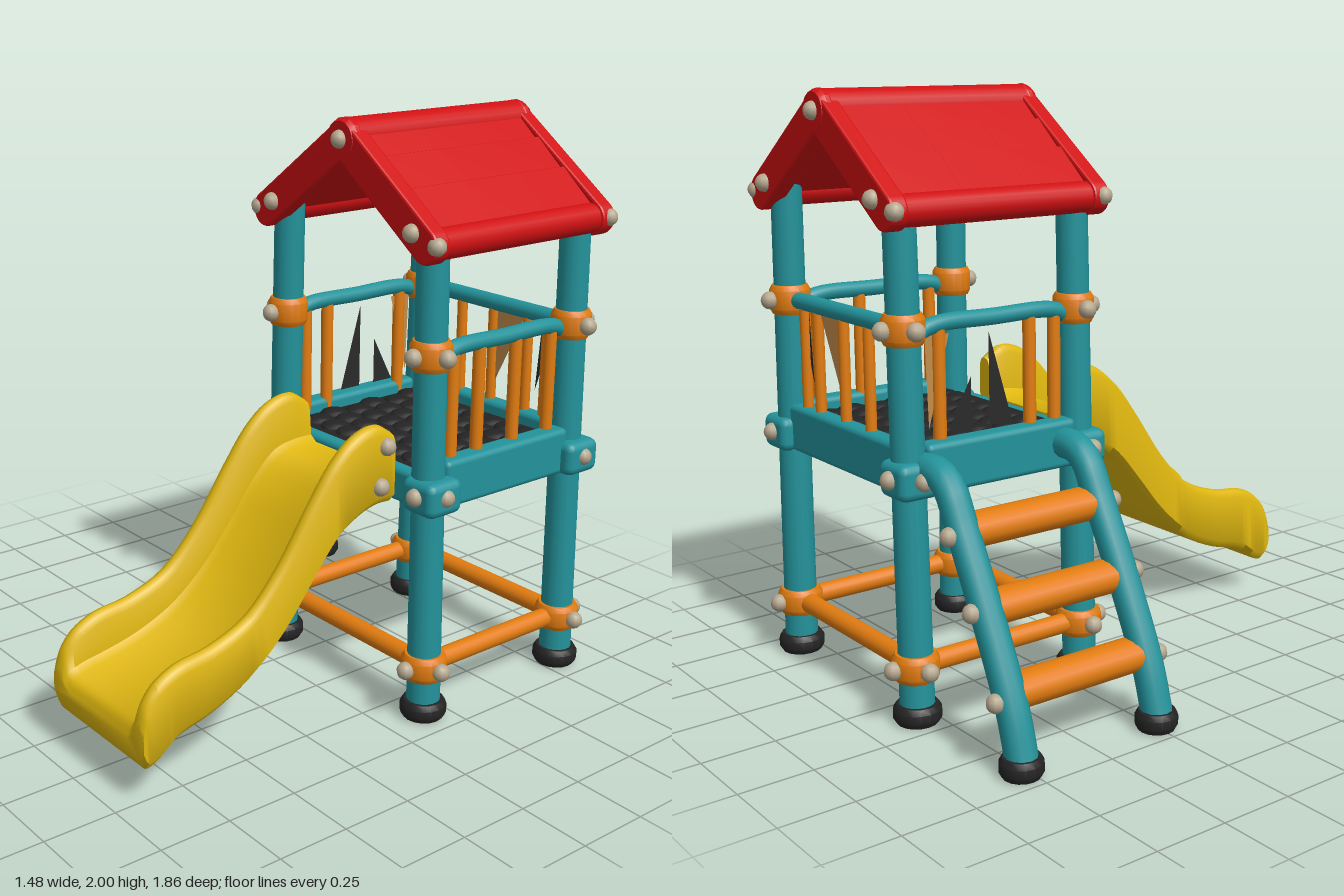
import * as THREE from 'three';
import { toCreasedNormals } from 'three/addons/utils/BufferGeometryUtils.js';
import { RoundedBoxGeometry } from 'three/addons/geometries/RoundedBoxGeometry.js';

const V = (x, y, z) => new THREE.Vector3(x, y, z);
const mat = (name, color, extra = {}) => {
  const m = new THREE.MeshStandardMaterial({ color, ...extra });
  m.name = name;
  return m;
};

export function createModel() {
  const model = new THREE.Group();
  model.name = 'playTower';
  const red = mat('roofRed', 0xd01012), teal = mat('frameTeal', 0x23939b);
  const orange = mat('railOrange', 0xe27c10), yellow = mat('slideYellow', 0xdfb70f);
  const black = mat('rubberBlack', 0x242424), beige = mat('boltBeige', 0xb5a78e);
  const tan = mat('panelTan', 0xc48d4c, { side: THREE.DoubleSide });
  const dark = mat('panelDark', 0x2a2a2a, { side: THREE.DoubleSide });

  const add = (name, geo, material, x = 0, y = 0, z = 0, parent = model) => {
    const m = new THREE.Mesh(geo, material);
    m.name = name;
    m.position.set(x, y, z);
    parent.add(m);
    return m;
  };
  // Round bar between two points
  const bar = (name, a, b, r, material, rTop = r, sides = 18) => {
    const m = add(name, new THREE.CylinderGeometry(rTop, r, a.distanceTo(b), sides), material);
    m.position.lerpVectors(a, b, 0.5);
    m.quaternion.setFromUnitVectors(V(0, 1, 0), b.clone().sub(a).normalize());
    return m;
  };
  const tube = (name, pts, r, material) =>
    add(name, new THREE.TubeGeometry(new THREE.CatmullRomCurve3(pts), 28, r, 12), material);
  const boltGeo = new THREE.SphereGeometry(0.031, 10, 8);
  const bolt = (x, y, z) => add('bolt', boltGeo, beige, x, y, z);
  // Ring with bevelled rims
  const ring = (r, h) => toCreasedNormals(new THREE.LatheGeometry([
    [0, -h / 2], [r * 0.86, -h / 2], [r, -h / 2 + 0.018], [r, h / 2 - 0.018], [r * 0.86, h / 2], [0, h / 2],
  ].map(p => new THREE.Vector2(...p)), 16), 0.6);

  // Four posts with feet, collars, corner blocks and bolts
  const xs = [-0.15, 0.63], zs = [-0.16, -0.82];
  const postX = (x, y) => x + (x < 0 ? 0.04 : -0.02) * y / 1.68;
  const foot = ring(0.08, 0.065);
  for (const x of xs) for (const z of zs) {
    const sx = x < 0 ? -1 : 1, sz = z > -0.5 ? 1 : -1;
    bar('post', V(x, 0.03, z), V(postX(x, 1.68), 1.68, z), 0.058, teal, 0.053);
    add('postFoot', foot, black, x, 0.0325, z);
    for (const [y, h, r] of [[0.19, 0.09, 0.078], [1.28, 0.1, 0.07]]) {
      const px = postX(x, y);
      add('collar', ring(r, h), orange, px, y, z);
      bolt(px + sx * (r + 0.006), y, z);
      bolt(px, y, z + sz * (r + 0.006));
    }
    add('cornerBlock', new RoundedBoxGeometry(0.15, 0.12, 0.15, 2, 0.03), teal, x + 0.01, 0.81, z);
    bolt(x + sx * 0.075, 0.815, z);
    bolt(x + 0.01, 0.815, z + sz * 0.075);
  }

  // Orange base rails and teal deck frame
  for (const z of zs) {
    bar('baseRail', V(xs[0], 0.19, z), V(xs[1], 0.19, z), 0.034, orange);
    const back = z < -0.5;
    add('deckBeam', new RoundedBoxGeometry(0.74, back ? 0.165 : 0.12, 0.07, 2, 0.02), teal, 0.24, back ? 0.835 : 0.81, z);
  }
  for (const x of xs) {
    bar('baseRail', V(x, 0.19, zs[0]), V(x, 0.19, zs[1]), 0.034, orange);
    add('deckBeam', new RoundedBoxGeometry(0.08, 0.165, 0.58, 2, 0.02), teal, x, 0.835, -0.49);
  }

  // Rubber deck with pebbled top
  add('deck', new THREE.BoxGeometry(0.76, 0.09, 0.64), black, 0.24, 0.825, -0.49);
  const pebble = new THREE.IcosahedronGeometry(0.055, 1);
  pebble.scale(1, 0.4, 1);
  for (let i = 0; i < 8; i++) for (let j = 0; j < 6; j++)
    add('deckPebble', pebble, black, -0.07 + i * 0.085 + (j % 2) * 0.03, 0.868, -0.72 + j * 0.095);

  // Guard rails and balusters
  bar('guardRail', V(-0.12, 1.28, -0.82), V(0.61, 1.28, -0.82), 0.029, teal);
  for (const x of [0.09, 0.25, 0.42, 0.51]) bar('baluster', V(x, 0.88, -0.82), V(x, 1.27, -0.82), 0.019, orange);
  for (const x of [-0.13, 0.615]) {
    tube('guardRail', [V(x, 1.24, -0.18), V(x, 1.27, -0.22), V(x, 1.285, -0.28), V(x, 1.285, -0.49),
      V(x, 1.285, -0.7), V(x, 1.27, -0.76), V(x, 1.24, -0.8)], 0.028, teal);
    for (const z of x > 0 ? [-0.26, -0.38, -0.55, -0.72] : [-0.25, -0.35, -0.7])
      bar('baluster', V(x, 0.88, z), V(x, 1.27, z), 0.022, orange);
  }
  // Triangular infill panels
  const panel = (material, ...pts) => {
    const g = new THREE.BufferGeometry().setFromPoints(pts);
    g.computeVertexNormals();
    add('infillPanel', g, material);
  };
  panel(tan, V(0.27, 1.25, -0.82), V(0.27, 0.99, -0.82), V(0.4, 1.25, -0.82));
  panel(dark, V(0.47, 1, -0.815), V(0.55, 1.25, -0.815), V(0.49, 1.25, -0.815));
  panel(dark, V(-0.13, 0.93, -0.42), V(-0.13, 0.93, -0.51), V(-0.13, 1.24, -0.51));
  panel(dark, V(-0.13, 0.93, -0.58), V(-0.13, 0.93, -0.67), V(-0.13, 1.1, -0.58));
  panel(tan, V(-0.13, 1.25, -0.66), V(-0.13, 1.25, -0.75), V(-0.13, 0.95, -0.74));

  // Ladder
  for (const [z, s] of [[-0.25, 1], [-0.78, -1]]) {
    tube('ladderRail', [V(-0.67, 0.04, z), V(-0.62, 0.2, z), V(-0.5, 0.45, z), V(-0.37, 0.69, z),
      V(-0.3, 0.81, z), V(-0.24, 0.84, z), V(-0.16, 0.84, z)], 0.052, teal);
    add('ladderFoot', ring(0.07, 0.065), black, -0.665, 0.0325, z);
    for (const [x, y] of [[-0.61, 0.225], [-0.49, 0.47], [-0.375, 0.68]]) bolt(x, y, z + s * 0.052);
  }
  for (const [x, y] of [[-0.58, 0.23], [-0.46, 0.46], [-0.345, 0.675]]) {
    const g = new THREE.CylinderGeometry(0.056, 0.056, 0.51, 18);
    g.scale(1.2, 1, 1).rotateX(Math.PI / 2);
    add('ladderRung', g, orange, x, y, -0.495);
  }

  // Slide: sections of z, wall top, bed and underside height
  const rows = [[-0.1, 1, 0.86, 0.76], [-0.03, 1.04, 0.86, 0.76], [0.06, 1.02, 0.84, 0.73], [0.15, 0.95, 0.76, 0.67],
    [0.25, 0.82, 0.63, 0.555], [0.37, 0.65, 0.49, 0.41], [0.5, 0.52, 0.385, 0.3], [0.65, 0.46, 0.32, 0.23],
    [0.78, 0.44, 0.29, 0.195], [0.86, 0.4, 0.275, 0.14], [0.905, 0.345, 0.255, 0.13], [0.925, 0.28, 0.21, 0.165]];
  const spline = k => new THREE.CatmullRomCurve3(rows.map(r => V(r[0], r[k], 0)));
  const curves = [1, 2, 3].map(spline);
  const N = 44, pos = [], index = [];
  let n = 0, first, last;
  for (let i = 0; i <= N; i++) {
    const p = curves.map(c => c.getPoint(i / N));
    const z = p[1].x, [top, bed, bot] = p.map(q => q.y);
    const L = 0.02, R = 0.525 + 0.03 * i / N;
    const half = [[0.025, bot], [0, bot + 0.03], [0, top - 0.03], [0.01, top - 0.008], [0.03, top],
      [0.05, top - 0.008], [0.06, top - 0.03], [0.068, bed + 0.02], [0.095, bed]];
    const loop = [...half.map(([x, y]) => [R - x, y]), ...half.reverse().map(([x, y]) => [L + x, y])];
    loop.forEach(([x, y]) => pos.push(x, y, z));
    n = loop.length;
    last = loop.map(q => new THREE.Vector2(...q));
    first ??= last;
  }
  for (let i = 0; i < N; i++) for (let j = 0; j < n; j++) {
    const a = i * n + j, b = i * n + (j + 1) % n;
    index.push(a, b, b + n, a, b + n, a + n);
  }
  THREE.ShapeUtils.triangulateShape(last, []).forEach(f => index.push(...f.map(v => v + N * n)));
  THREE.ShapeUtils.triangulateShape(first, []).forEach(([a, b, c]) => index.push(a, c, b));
  const slide = new THREE.BufferGeometry();
  slide.setAttribute('position', new THREE.Float32BufferAttribute(pos, 3));
  slide.setIndex(index);
  add('slide', toCreasedNormals(slide, 0.8), yellow);
  for (const x of [0.012, 0.528]) { bolt(x, 0.965, -0.06); bolt(x, 0.83, -0.035); }

  // Roof: two matching slopes around the ridge
  const angle = Math.atan2(0.285, 0.4), len = Math.hypot(0.285, 0.4);
  const shingle = new THREE.Shape();
  shingle.moveTo(-0.06, -0.122);
  shingle.lineTo(0.12, -0.122);
  shingle.bezierCurveTo(0.185, -0.1, 0.185, 0.1, 0.12, 0.122);
  shingle.lineTo(-0.06, 0.122);
  const shingleGeo = new THREE.ExtrudeGeometry(shingle, { depth: 0.018, bevelEnabled: true, bevelSize: 0.004, bevelThickness: 0.004, bevelSegments: 1, curveSegments: 10 });
  shingleGeo.rotateX(-Math.PI / 2);
  const trim = new THREE.Shape();
  trim.absarc(0, 0, 0.06, Math.PI / 2, Math.PI * 1.5);
  trim.absarc(len, 0, 0.06, -Math.PI / 2, Math.PI / 2);
  const trimGeo = new THREE.ExtrudeGeometry(trim, { depth: 0.045, bevelSize: 0.008, bevelOffset: -0.008, bevelThickness: 0.008, bevelSegments: 2 });
  for (const turn of [0, Math.PI]) {
    const half = new THREE.Group(), slope = new THREE.Group();
    half.name = 'roofHalf';
    slope.name = 'roofSlope';
    half.position.set(0.25, 1.93, -0.49);
    half.rotation.y = turn;
    slope.rotation.z = -angle;
    half.add(slope);
    model.add(half);
    add('roofPanel', new THREE.BoxGeometry(len, 0.05, 0.76), red, len / 2, -0.005, 0, slope);
    add('eaveBar', new THREE.CylinderGeometry(0.052, 0.052, 0.78, 18).rotateX(Math.PI / 2), red, len, 0, 0, slope);
    for (const z of [-0.405, 0.36]) add('roofTrim', trimGeo, red, 0, 0, z, slope);
    for (let r = 2; r >= 0; r--) for (let c = -1; c <= 1; c++) {
      const s = add('shingle', shingleGeo, red, 0.055 + r * 0.15, 0.027, c * 0.245, slope);
      s.rotation.z = -0.08;
    }
    for (const z of [-0.415, 0.415]) add('bolt', boltGeo, beige, len - 0.06, 0, z, slope);
    for (const z of [-0.33, 0.33]) add('bolt', boltGeo, beige, len + 0.035, 0.03, z * 1.2, slope);
  }
  add('ridgeBar', new THREE.CylinderGeometry(0.068, 0.068, 0.8, 24).rotateX(Math.PI / 2), red, 0.25, 1.93, -0.49);
  for (const [z, s] of [[-0.1, 1], [-0.88, -1]]) {
    add('ridgeCap', ring(0.073, 0.05).rotateX(Math.PI / 2), red, 0.25, 1.927, z);
    bolt(0.25, 1.93, z + s * 0.024);
  }
  return model;
}
